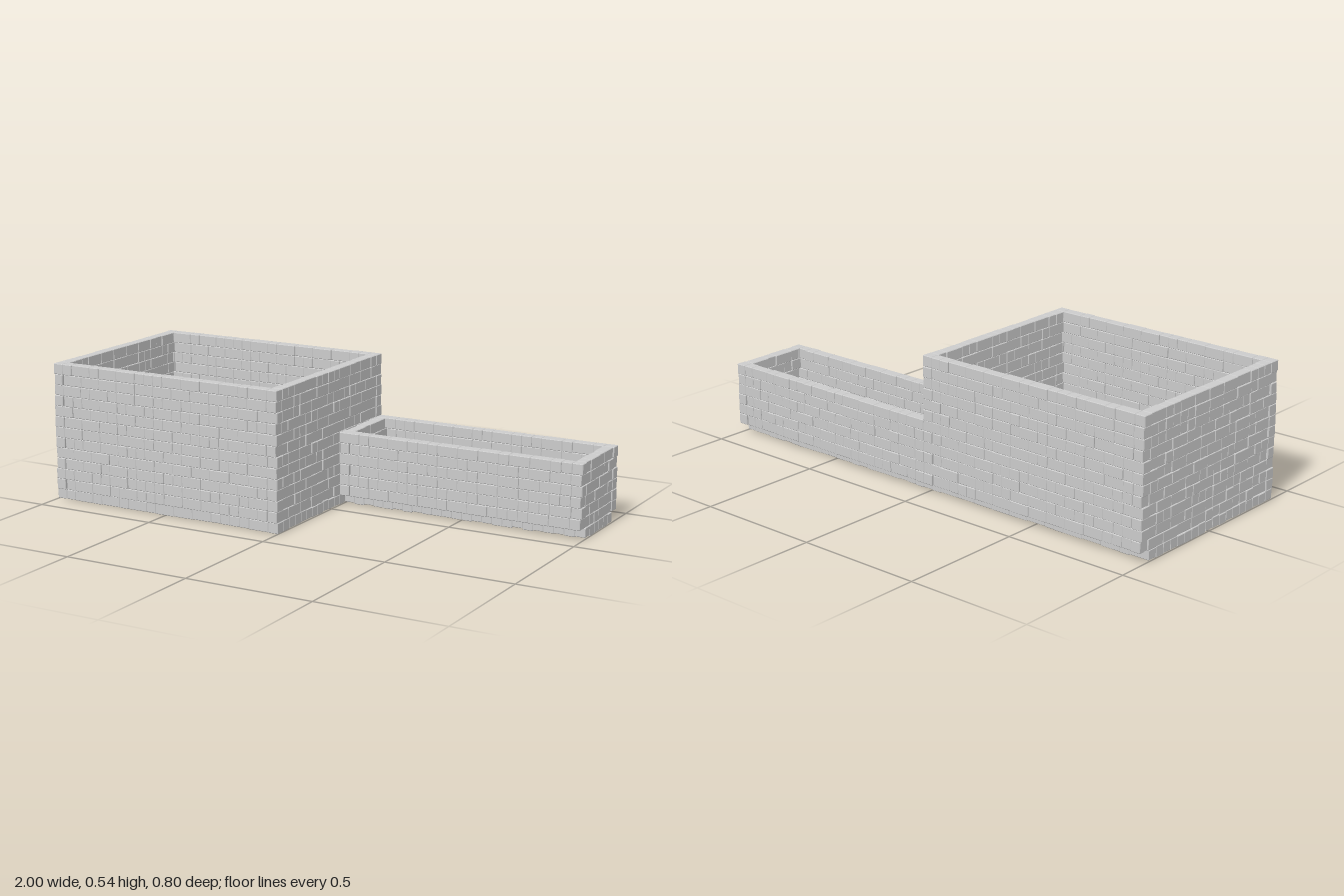
import * as THREE from 'three';
import { mergeGeometries } from 'three/addons/utils/BufferGeometryUtils.js';
import { ConvexGeometry } from 'three/addons/geometries/ConvexGeometry.js';

const ROW = 0.0413;   // height of one brick course
const WALL = 0.045;   // wall thickness
const BEVEL = 0.002;

// Chamfered cube: coordinates of size 1 lie on a face, 0.8 on a bevel edge
const corners = [];
for (const x of [-1, 1]) for (const y of [-1, 1]) for (const z of [-1, 1]) {
  corners.push(new THREE.Vector3(x, y * 0.8, z * 0.8));
  corners.push(new THREE.Vector3(x * 0.8, y, z * 0.8));
  corners.push(new THREE.Vector3(x * 0.8, y * 0.8, z));
}
const template = new ConvexGeometry(corners);

let seed = 7;
function random() {
  seed = (seed * 16807) % 2147483647;
  return seed / 2147483647;
}

// One bevelled brick filling the box from min to max
function brick(min, max) {
  const geometry = template.clone();
  const pos = geometry.attributes.position;
  for (let i = 0; i < pos.count; i++) {
    for (let k = 0; k < 3; k++) {
      const v = pos.getComponent(i, k);
      const half = (max[k] - min[k]) / 2;
      const reach = Math.abs(v) > 0.9 ? half : half - BEVEL;
      pos.setComponent(i, k, (min[k] + max[k]) / 2 + Math.sign(v) * reach);
    }
  }
  geometry.computeVertexNormals();
  return geometry;
}

// A line of bricks along one axis (0 = x, 2 = z), each up to 'longest' units;
// the faces across the jitter axis are set back unevenly
function course(out, min, max, axis, jitterAxis, longest) {
  const units = Math.max(1, Math.round((max[axis] - min[axis]) / ROW));
  const step = (max[axis] - min[axis]) / units;
  for (let u = 0; u < units;) {
    const n = Math.min(units - u, 1 + Math.floor(random() * longest));
    const a = [...min], b = [...max];
    a[axis] = min[axis] + u * step;
    b[axis] = a[axis] + n * step;
    a[jitterAxis] += random() * 0.005;
    b[jitterAxis] -= random() * 0.005;
    out.push(brick(a, b));
    u += n;
  }
}

// Four walls with corners interlocking on alternate courses
function walls(x0, x1, z0, z1, firstRow, lastRow) {
  const out = [];
  for (let r = firstRow; r < lastRow; r++) {
    const y0 = r * ROW, y1 = y0 + ROW;
    const alongX = r % 2 ? WALL : 0, alongZ = WALL - alongX;
    for (const z of [z0, z1 - WALL]) {
      course(out, [x0 + alongX, y0, z], [x1 - alongX, y1, z + WALL], 0, 2, 2);
    }
    for (const x of [x0, x1 - WALL]) {
      course(out, [x, y0, z0 + alongZ], [x + WALL, y1, z1 - alongZ], 2, 0, 2);
    }
  }
  return out;
}

// A flat layer of stones laid in strips along x
function slab(x0, x1, z0, z1, y0, longest) {
  const out = [];
  const strips = Math.round((z1 - z0) / ROW);
  const width = (z1 - z0) / strips;
  for (let i = 0; i < strips; i++) {
    const z = z0 + i * width;
    course(out, [x0, y0, z], [x1, y0 + WALL, z + width], 0, 1, longest);
  }
  return out;
}

export function createModel() {
  const group = new THREE.Group();
  const material = new THREE.MeshStandardMaterial({ color: 0xcccccc, flatShading: true });
  const add = (name, bricks) => {
    const mesh = new THREE.Mesh(mergeGeometries(bricks), material);
    mesh.name = name;
    group.add(mesh);
  };

  // The foundations stop short of the rear wall, leaving a ledge
  const rear = -0.4, baseRear = -0.355;
  add('tallRoomWalls', walls(-1, 0, rear, 0.4, 1, 13));
  add('tallRoomFoundation', slab(-1, 0, baseRear, 0.395, 0, 2));
  add('tallRoomFloor', slab(-1 + WALL, -WALL, baseRear, 0.4 - WALL, 4 * ROW, 1));

  // The low room's foundation is also its floor
  add('lowRoomWalls', walls(0, 1, rear, -0.06, 1, 7));
  add('lowRoomFoundation', slab(0, 1, baseRear, -0.105, 0, 1));
  return group;
}
